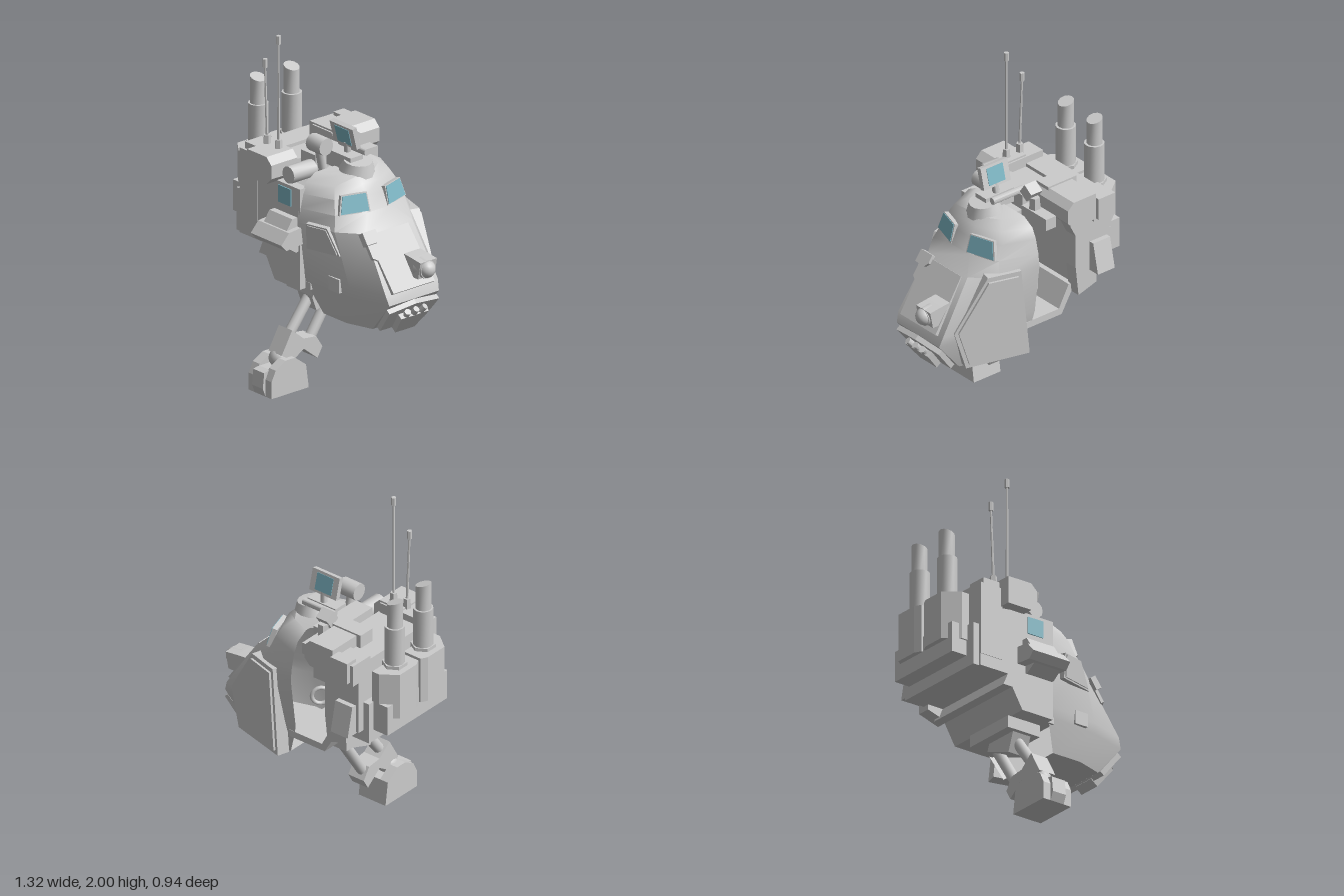
import * as THREE from 'three';
import { toCreasedNormals } from 'three/addons/utils/BufferGeometryUtils.js';

const grey = new THREE.MeshStandardMaterial({ color: 0xcccccc, side: THREE.DoubleSide });
const glass = new THREE.MeshStandardMaterial({ color: 0x7fb8c6 });
const CZ = -0.06; // centre plane of the hull
const V = (x, y, z) => new THREE.Vector3(x, y, z);

export function createModel() {
  const root = new THREE.Group();
  const add = (name, geo, x = 0, y = 0, z = 0, mat = grey, parent = root) => {
    const m = new THREE.Mesh(geo, mat);
    m.name = name;
    m.position.set(x, y, z);
    parent.add(m);
    return m;
  };
  // box from its limits
  const box = (name, x0, x1, y0, y1, z0, z1, mat) =>
    add(name, new THREE.BoxGeometry(x1 - x0, y1 - y0, z1 - z0), (x0 + x1) / 2, (y0 + y1) / 2, (z0 + z1) / 2, mat);
  // round bar between two points
  const rod = (name, a, b, r, r2 = r, sides = 12) => {
    const d = b.clone().sub(a);
    const g = toCreasedNormals(new THREE.CylinderGeometry(r2, r, d.length(), sides), 0.7);
    const m = add(name, g, ...a.clone().add(b).multiplyScalar(0.5).toArray());
    m.quaternion.setFromUnitVectors(V(0, 1, 0), d.normalize());
    return m;
  };
  const outline = pts => pts.map(p => new THREE.Vector2(...p));
  const extrude = (pts, depth, hole) => {
    const shape = new THREE.Shape(outline(pts));
    if (hole) shape.holes.push(new THREE.Path(outline(hole)));
    return new THREE.ExtrudeGeometry(shape, { depth, bevelEnabled: false });
  };
  // side profile (x, y) carried along z
  const sideBlock = (name, pts, z0, z1, hole) => add(name, extrude(pts, z1 - z0, hole), 0, 0, z0);
  // cross profile (z, y) carried along x
  const crossBlock = (name, pts, x0, x1) => {
    const m = add(name, extrude(pts.map(([z, y]) => [-z, y]), x1 - x0), x0);
    m.rotation.y = Math.PI / 2;
    return m;
  };
  // plate lying on a surface with the given normal
  const plate = (name, pts, depth, origin, normal, mat) => {
    const n = normal.clone().normalize();
    const X = V(0, 1, 0).cross(n).normalize();
    const Y = n.clone().cross(X);
    const m = add(name, extrude(pts, depth), origin.x, origin.y, origin.z, mat);
    m.quaternion.setFromRotationMatrix(new THREE.Matrix4().makeBasis(X, Y, n));
    return m;
  };
  const scaled = (pts, s) => {
    const cx = pts.reduce((t, p) => t + p[0], 0) / pts.length;
    const cy = pts.reduce((t, p) => t + p[1], 0) / pts.length;
    return pts.map(([x, y]) => [cx + (x - cx) * s, cy + (y - cy) * s]);
  };

  // Cabin hull, open to the bay: stacked outlines, [y, back x, half width, middle x, half width, front x, half width]
  const layers = [
    [0.46, 0.09, 0.22, 0.28, 0.22, 0.44, 0.17],
    [0.64, 0.01, 0.28, 0.36, 0.25, 0.59, 0.18],
    [0.70, 0, 0.29, 0.35, 0.26, 0.57, 0.19],
    [1.0, 0, 0.33, 0.25, 0.28, 0.38, 0.17],
    [1.08, 0, 0.32, 0.22, 0.25, 0.3, 0.09],
    [1.16, 0, 0.3, 0.19, 0.23, 0.265, 0.07],
    [1.22, 0, 0.27, 0.16, 0.2, 0.23, 0.06],
    [1.26, 0, 0.2, 0.12, 0.15, 0.19, 0.05],
  ];
  const pos = [], idx = [];
  layers.forEach(([y, xb, wb, xm, wm, xf, wf]) => {
    [[xb, wb], [xm, wm], [xf, wf], [xf, -wf], [xm, -wm], [xb, -wb]].forEach(([x, w]) => pos.push(x, y, CZ + w));
  });
  const top = (layers.length - 1) * 6;
  for (let l = 0; l < top; l += 6) for (let i = 0; i < 5; i++) {
    const a = l + i, b = a + 1;
    idx.push(a, b, b + 6, a, b + 6, a + 6);
  }
  for (let i = 1; i < 5; i++) idx.push(top, top + i, top + i + 1, 0, i + 1, i);
  const hull = new THREE.BufferGeometry();
  hull.setAttribute('position', new THREE.Float32BufferAttribute(pos, 3));
  hull.setIndex(idx);
  add('cabinHull', toCreasedNormals(hull, 0.75));

  // Nose plates, lamp and chin
  const noseN = V(0.82, 0.57, 0);
  plate('nosePlate', [[-0.15, -0.19], [0.15, -0.19], [0.13, 0.16], [-0.19, 0.16], [-0.19, 0.03], [-0.16, 0.01]], 0.022, V(0.465, 0.85, CZ), noseN);
  plate('noseVent', [[-0.045, -0.035], [0.03, -0.035], [0.05, -0.01], [0.05, 0.04], [-0.045, 0.04]], 0.04, V(0.385, 0.965, 0.1), noseN);
  sideBlock('lampHousing', [[0.44, 0.87], [0.5, 0.75], [0.6, 0.75], [0.62, 0.85], [0.54, 0.86]], -0.2, -0.08);
  add('lamp', new THREE.SphereGeometry(0.05, 16, 10), 0.608, 0.8, -0.135);
  rod('lampRing', V(0.56, 0.8, -0.135), V(0.62, 0.8, -0.135), 0.06, 0.053, 16);
  const chinN = V(0.79, -0.61, 0);
  plate('chinPlate', [[-0.16, -0.09], [0.16, -0.09], [0.18, 0.08], [0, 0.11], [-0.18, 0.08]], 0.03, V(0.52, 0.55, CZ), chinN);
  plate('chinMount', [[-0.07, -0.09], [0.07, -0.09], [0.1, 0.05], [-0.1, 0.05]], 0.055, V(0.525, 0.54, CZ), chinN);
  for (const dz of [-0.045, 0, 0.045])
    rod('chinNozzle', V(0.53, 0.49, CZ + dz * 0.7), V(0.61, 0.585, CZ + dz * 1.4), 0.018);

  // Windscreen panes in raised frames
  for (const s of [1, -1]) {
    const pane = [[-0.085, -0.05], [0.085, -0.05], [0.075, 0.05], [-0.065, 0.05]].map(([x, y]) => [x * s, y]);
    if (s < 0) pane.reverse();
    const n = V(0.9, 0.24, s * 0.28);
    const at = V(0.235, 1.13, CZ + s * 0.14);
    plate('windowFrame', scaled(pane, 1.1), 0.028, at, n);
    plate('windowPane', pane, 0.032, at, n, glass);
  }

  // Side plates
  const hatch = [[-0.11, -0.075], [0.11, -0.075], [0.03, 0.075], [-0.11, 0.075]];
  plate('sideHatch', hatch, 0.03, V(0.18, 0.945, 0.222), V(0.25, -0.06, 1));
  plate('sideHatchPanel', scaled(hatch, 0.88), 0.036, V(0.18, 0.945, 0.222), V(0.25, -0.06, 1));
  box('sideLatch', 0.2, 0.285, 0.65, 0.73, 0.15, 0.22);
  const armour = [[0.25, -0.26], [0.2, 0.27], [0, 0.27], [-0.2, -0.04], [-0.13, -0.27]];
  const armourN = V(0.29, 0, -1);
  plate('sideArmour', armour, 0.075, V(0.3, 0.75, -0.262), armourN);
  plate('sideArmourFace', scaled(armour, 0.9), 0.088, V(0.3, 0.75, -0.262), armourN);

  // Middle bay: wall with a window on one side, open doorway on the other
  sideBlock('bayWall', [[0.01, 0.6], [-0.2, 0.6], [-0.27, 0.72], [-0.33, 0.72], [-0.3, 0.79], [-0.49, 0.79],
    [-0.49, 1.04], [-0.36, 1.17], [-0.2, 1.19], [0.01, 1.19]], 0.205, 0.262,
  [[-0.165, 1.07], [-0.06, 1.07], [-0.06, 1.17], [-0.165, 1.17]]);
  box('bayWindow', -0.165, -0.06, 1.07, 1.17, 0.25, 0.268, glass);
  sideBlock('bayFloor', [[0.05, 0.6], [-0.2, 0.6], [-0.27, 0.72], [-0.3, 0.72], [-0.3, 0.77], [-0.25, 0.77],
    [-0.18, 0.64], [0.05, 0.64]], -0.34, 0.22);
  box('bayBeam', -0.22, 0, 0.53, 0.6, -0.18, 0.16);
  box('seatBase', -0.2, -0.06, 0.63, 0.76, -0.14, 0.04);
  box('roofDeck', -0.2, 0.03, 1.18, 1.23, -0.16, 0.06);
  const wheel = add('steeringWheel', new THREE.TorusGeometry(0.05, 0.012, 8, 16), -0.04, 0.82, -0.18);
  wheel.rotation.y = 0.8;

  // Rear hull
  sideBlock('rearHull', [[-0.28, 0.72], [-0.33, 0.72], [-0.3, 0.79], [-0.53, 0.79], [-0.53, 1.04], [-0.48, 1.04],
    [-0.46, 1.18], [-0.28, 1.18]], -0.36, 0.25);
  box('engineBlock', -0.49, -0.34, 0.86, 1.29, -0.4, 0.265);
  box('rearDeck', -0.36, -0.19, 1.15, 1.27, -0.2, 0.16);
  sideBlock('doorPillar', [[-0.4, 0.76], [-0.27, 0.72], [-0.25, 0.9], [-0.25, 1.1], [-0.19, 1.22], [-0.4, 1.22]], -0.4, -0.32);
  crossBlock('sideBin', [[-0.38, 0.85], [-0.47, 0.85], [-0.43, 1.03], [-0.38, 1.03]], -0.47, -0.35);
  // storage pods
  const pod = [[-0.35, 1.2], [-0.19, 1.2], [-0.15, 1.24], [-0.15, 1.32], [-0.19, 1.36], [-0.35, 1.36]];
  sideBlock('storagePod', pod, -0.455, -0.14);
  sideBlock('storagePod', pod.map(([x, y]) => [x, y - 0.02]), 0.14, 0.33);
  box('podStrap', -0.38, -0.18, 1.18, 1.37, -0.25, -0.15);
  box('antennaBase', -0.46, -0.2, 1.16, 1.33, 0.13, 0.25);
  box('rearBin', -0.49, -0.34, 1.18, 1.31, -0.45, -0.3);
  box('rearBinLid', -0.47, -0.35, 1.2, 1.33, -0.475, -0.4);

  // Exhausts in their tray
  box('exhaustTray', -0.63, -0.48, 0.86, 1.04, -0.32, 0.19);
  for (const s of [1, -1]) {
    const z = CZ + s * 0.122;
    const guard = [[-0.52, 0.01], [-0.64, 0.01], [-0.66, 0.05], [-0.66, 0.19], [-0.57, 0.26], [-0.52, 0.26]]
      .map(([x, w]) => [x, -(CZ + s * w)]);
    add('exhaustGuard', extrude(guard, 0.28), 0, 0.95, 0).rotation.x = -Math.PI / 2;
    rod('exhaustCollar', V(-0.565, 1.2, z), V(-0.565, 1.25, z), 0.07, 0.07, 6);
    rod('exhaustPipe', V(-0.565, 1.0, z), V(-0.565, 1.48, z), 0.057);
    // slanted outlet
    const stack = new THREE.CylinderGeometry(0.045, 0.045, 0.16, 12);
    const p = stack.attributes.position;
    for (let i = 0; i < p.count; i++) if (p.getY(i) > 0) p.setY(i, 0.075 - p.getX(i) * 0.3);
    add('exhaustStack', toCreasedNormals(stack, 0.7), -0.567, 1.555, z);
  }

  // Antennas
  [[-0.345, -0.362, 1.83], [-0.25, -0.25, 2.0]].forEach(([x, tx, h]) => {
    rod('antennaFoot', V(x, 1.32, 0.19), V(x, 1.39, 0.19), 0.024, 0.02, 5);
    rod('antennaWhip', V(x, 1.38, 0.19), V(tx, h - 0.04, 0.19), 0.008, 0.006, 6);
    rod('antennaTip', V(tx, h - 0.05, 0.19), V(tx, h, 0.19), 0.014, 0.014, 6);
  });

  // Roof cupola, gun and sight
  rod('cupola', V(0.11, 1.2, CZ), V(0.125, 1.315, CZ), 0.12, 0.08, 14);
  box('gunBody', -0.07, 0.13, 1.25, 1.34, -0.09, 0);
  box('gunCradle', -0.19, -0.07, 1.21, 1.32, -0.16, 0.08);
  rod('gunBarrel', V(-0.1, 1.34, -0.13), V(0.12, 1.34, -0.13), 0.02);
  rod('ammoDrum', V(-0.105, 1.39, 0.07), V(0.01, 1.39, 0.07), 0.05);
  rod('drumBracket', V(-0.05, 1.23, 0.04), V(-0.05, 1.36, 0.07), 0.025);
  const sight = new THREE.Group();
  sight.name = 'sight';
  sight.position.set(0.035, 1.445, -0.045);
  sight.rotation.x = 0.25;
  root.add(sight);
  add('sightFrame', new THREE.BoxGeometry(0.19, 0.13, 0.03), 0, 0, 0, grey, sight);
  add('sightGlass', new THREE.BoxGeometry(0.115, 0.1, 0.036), 0, 0, 0, glass, sight);
  rod('sightArm', V(0.03, 1.28, -0.07), V(0.04, 1.4, -0.055), 0.02);

  // Mounts on either side of the bay roof
  rod('mountAxle', V(-0.1, 1.24, 0.08), V(-0.1, 1.24, 0.25), 0.05);
  box('mountArm', -0.135, -0.065, 1.19, 1.26, -0.37, -0.16);
  rod('mountPin', V(-0.1, 1.2, -0.23), V(-0.1, 1.33, -0.23), 0.035, 0.03, 5);
  const lug = add('mountBlock', new THREE.BoxGeometry(0.08, 0.07, 0.07), -0.1, 1.355, -0.2);
  lug.rotation.x = -0.6;

  // Side pouch
  crossBlock('sidePouch', [[0.25, 0.87], [0.37, 0.86], [0.405, 0.9], [0.35, 0.96], [0.25, 0.97]], -0.235, 0.02);
  crossBlock('pouchBase', [[0.25, 0.83], [0.28, 0.82], [0.37, 0.88], [0.25, 0.89]], -0.18, 0);
  crossBlock('pouchLid', [[0.25, 0.95], [0.36, 0.93], [0.3, 1.02], [0.25, 1.02]], -0.2, -0.01);

  // Leg: hip, twin struts, ankle and foot
  const hip = add('hipBlock', new THREE.BoxGeometry(0.12, 0.12, 0.2), -0.105, 0.51, 0.02);
  hip.rotation.x = 0.35;
  rod('outerStrut', V(-0.105, 0.55, 0.05), V(-0.105, 0.29, 0.25), 0.032);
  rod('innerStrut', V(-0.105, 0.5, -0.08), V(-0.105, 0.2, 0.12), 0.032);
  crossBlock('ankleBlock', [[0.275, 0.35], [0.35, 0.22], [0.27, 0.17], [0.19, 0.22], [0.09, 0.14], [0.055, 0.2],
    [0.1, 0.27], [0.19, 0.28]], -0.15, -0.04);
  add('ankleBall', new THREE.SphereGeometry(0.06, 14, 10), -0.105, 0.18, 0.31);
  crossBlock('footCore', [[0.18, 0], [0.45, 0], [0.47, 0.05], [0.46, 0.14], [0.42, 0.15], [0.27, 0.15], [0.2, 0.14]], -0.15, -0.06);
  const cheek = [[0.18, 0], [0.45, 0], [0.45, 0.1], [0.42, 0.16], [0.35, 0.2], [0.28, 0.2], [0.2, 0.14]];
  crossBlock('footCheek', cheek, -0.2, -0.145);
  crossBlock('footCheek', cheek, -0.065, -0.01);

  return root;
}
